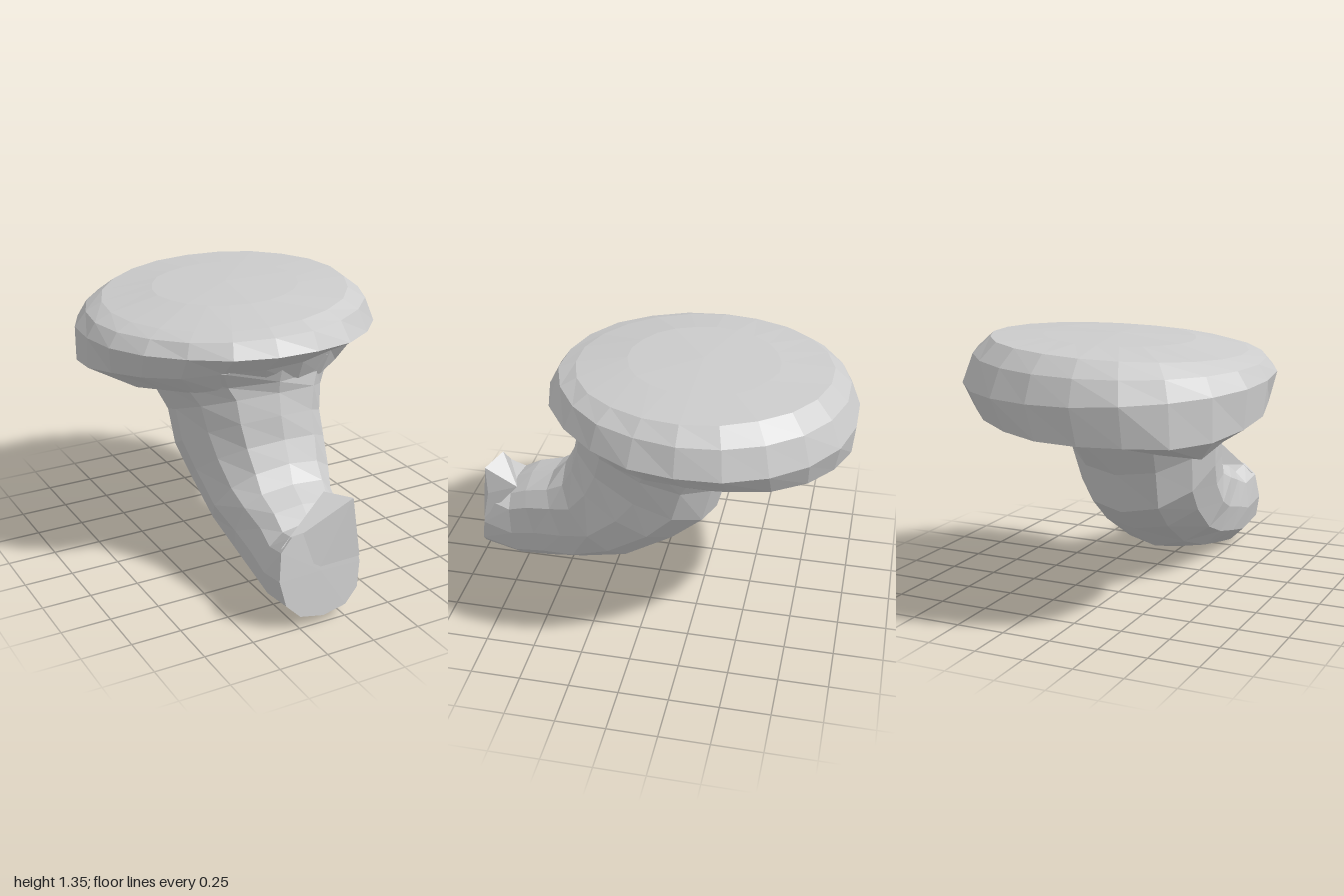
import * as THREE from 'three';
import { ConvexGeometry } from 'three/addons/geometries/ConvexGeometry.js';

const material = new THREE.MeshStandardMaterial({ color: 0xcccccc, flatShading: true, side: THREE.DoubleSide });

// Skin a list of equal-length point rings and close both ends with a fan.
function loft(rings, startCentre, endCentre) {
  const n = rings[0].length;
  const positions = [...rings.flat(), startCentre, endCentre].flat();
  const start = rings.length * n;
  const end = start + 1;
  const index = [];
  for (let i = 0; i < n; i++) {
    const j = (i + 1) % n;
    for (let k = 0; k < rings.length - 1; k++) {
      const a = k * n + i, b = k * n + j, c = a + n, d = b + n;
      index.push(a, b, c, b, d, c);
    }
    index.push(start, j, i);
    index.push(end, (rings.length - 1) * n + i, (rings.length - 1) * n + j);
  }
  const geometry = new THREE.BufferGeometry();
  geometry.setAttribute('position', new THREE.Float32BufferAttribute(positions, 3));
  geometry.setIndex(index);
  const flat = geometry.toNonIndexed();
  flat.computeVertexNormals();
  return flat;
}

// Small repeatable irregularity for the hand-carved look.
const wobble = (i, k) => Math.sin(i * 2.3 + k * 1.7) * 0.5 + Math.sin(i * 4.1 - k * 2.9) * 0.5;

// Cap, from top to underside. Each ring has a radius and height, shift (how far
// it slides towards -x and -z), tilts towards +x and +z, the sag and bulge of
// the underside's back corner, and roughness.
function capGeometry() {
  const sides = 22;
  const centreZ = -0.22;
  const profile = [
    { r: 0.38, y: 1.335, shift: 0, tx: 0.012, tz: 0, sag: 0, bulge: 0, rough: 0 },
    { r: 0.64, y: 1.305, shift: 0, tx: 0.033, tz: -0.01, sag: 0, bulge: 0, rough: 0 },
    { r: 0.725, y: 1.25, shift: 0, tx: 0.018, tz: 0.015, sag: 0, bulge: 0, rough: 0 },
    { r: 0.778, y: 1.145, shift: 0, tx: -0.015, tz: 0.035, sag: 0, bulge: 0, rough: 0.004 },
    { r: 0.725, y: 1.02, shift: 0.032, tx: 0.025, tz: 0.085, sag: 0.02, bulge: 0.03, rough: 0.008 },
    { r: 0.61, y: 0.95, shift: 0, tx: 0.025, tz: 0.02, sag: 0.075, bulge: 0.085, rough: 0.01 },
    { r: 0.4, y: 0.975, shift: 0, tx: 0.01, tz: 0.015, sag: 0.05, bulge: 0, rough: 0.005 },
  ];
  const rings = profile.map(({ r, y, shift, tx, tz, sag, bulge, rough }, k) =>
    Array.from({ length: sides }, (_, i) => {
      const t = (i / sides) * Math.PI * 2;
      const c = Math.cos(t), s = Math.sin(t);
      const corner = Math.max(0, Math.cos(t - Math.PI * 1.2)) ** 12;
      const radius = r * (1 - 0.008 * s) + corner * bulge + wobble(i, k) * 0.005;
      return [
        c * radius - shift,
        y + c * tx + s * tz - corner * sag + wobble(i, k + 3) * rough,
        centreZ + s * radius - shift,
      ];
    }));
  return loft(rings, [0, 1.347, centreZ], [0, 0.99, centreZ]);
}

// Stem: sections, each [upper z, y, lower z, y, min x, max x].
function stemGeometry() {
  const sides = 12;
  const sections = [
    [0.925, 0.47, 1.0, 0.035, -0.34, 0.1],
    [0.82, 0.445, 0.78, 0.0, -0.33, 0.13],
    [0.73, 0.495, 0.6, 0.03, -0.325, 0.16],
    [0.6, 0.54, 0.4, 0.07, -0.33, 0.21],
    [0.52, 0.61, 0.14, 0.145, -0.35, 0.28],
    [0.47, 0.72, -0.13, 0.31, -0.375, 0.31],
    [0.445, 0.84, -0.3, 0.445, -0.4, 0.32],
    [0.42, 0.95, -0.355, 0.65, -0.42, 0.35],
    [0.42, 1.01, -0.5, 0.87, -0.49, 0.41],
    [0.46, 1.1, -0.62, 0.98, -0.56, 0.48],
  ];
  const soften = (v, power) => Math.sign(v) * Math.abs(v) ** power;
  const rings = sections.map(([uz, uy, lz, ly, x0, x1], k) =>
    Array.from({ length: sides }, (_, i) => {
      const t = (i / sides) * Math.PI * 2;
      // Square shoulders near the cut end, rounder towards the cap and below.
      const power = (k < 4 ? 0.68 : 0.84) + (Math.sin(t) > 0 ? 0 : 0.14);
      const swell = 1 + (k > 0 ? wobble(i, k) * 0.018 : 0);
      const c = soften(Math.cos(t), power) * swell;
      const s = soften(Math.sin(t), power) * swell;
      return [
        (x0 + x1) / 2 - ((x1 - x0) / 2) * c,
        Math.max(0, (uy + ly) / 2 + ((uy - ly) / 2) * s),
        (uz + lz) / 2 + ((uz - lz) / 2) * s,
      ];
    }));
  return loft(rings, [-0.12, 0.26, 0.965], [-0.04, 1.06, -0.1]);
}

// Raised lip at the cut end of the stem.
function lipGeometry() {
  const points = [
    [-0.06, 0.62, 0.88], [0.065, 0.585, 0.945], [0.07, 0.49, 0.77],
    [-0.31, 0.4, 0.92], [0.09, 0.44, 0.93], [0.1, 0.28, 0.96],
    [-0.1, 0.44, 0.83], [-0.12, 0.28, 0.965],
  ];
  return new ConvexGeometry(points.map((p) => new THREE.Vector3(...p)));
}

export function createModel() {
  const model = new THREE.Group();
  model.name = 'mushroom';
  const parts = { cap: capGeometry(), stem: stemGeometry(), stemLip: lipGeometry() };
  for (const [name, geometry] of Object.entries(parts)) {
    const mesh = new THREE.Mesh(geometry, material);
    mesh.name = name;
    model.add(mesh);
  }
  return model;
}
